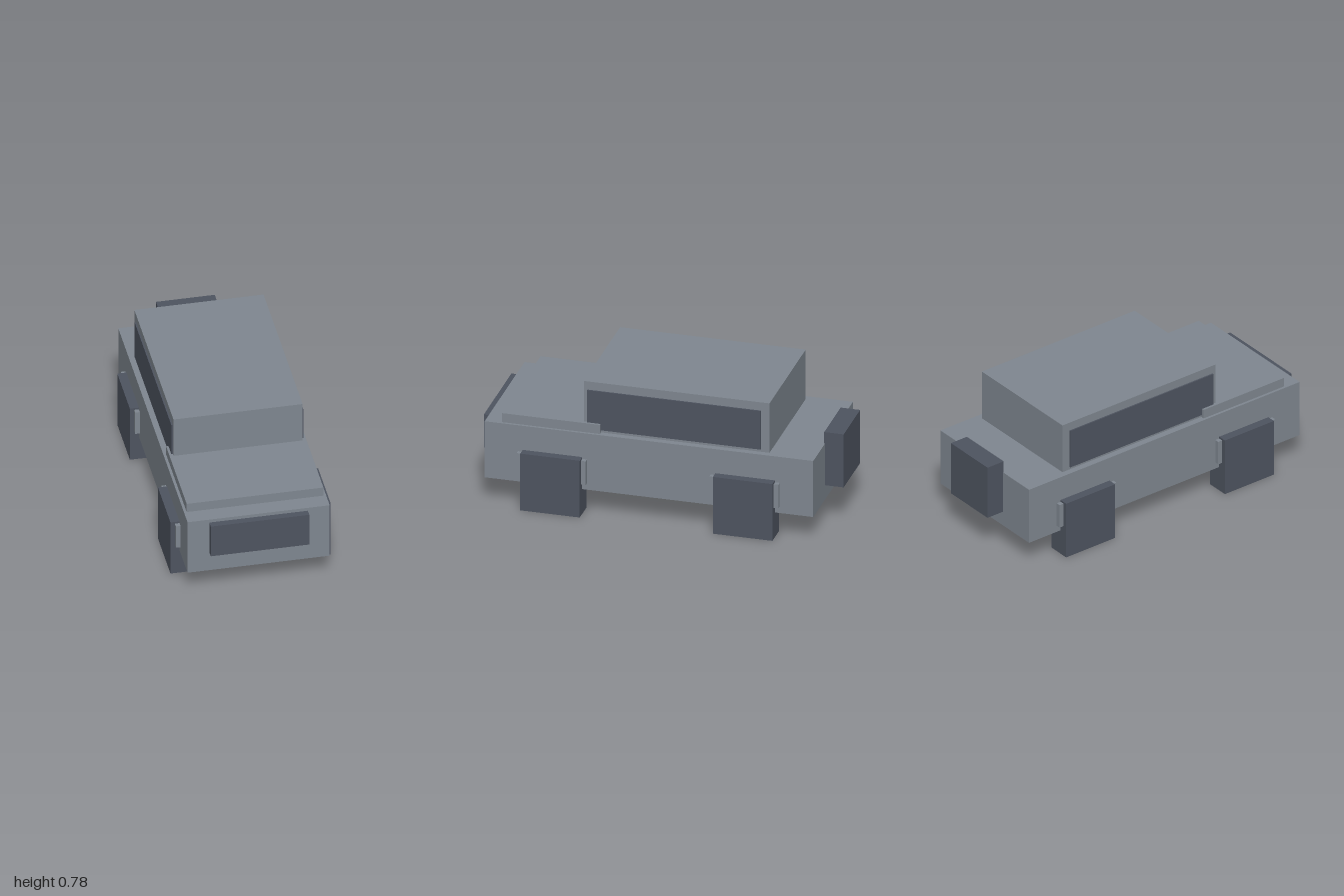
import * as THREE from 'three';

const paint = new THREE.MeshStandardMaterial({ color: 0x7f8790 });
paint.name = 'grey paint';
const dark = new THREE.MeshStandardMaterial({ color: 0x4e5460 });
dark.name = 'dark slate';

// Box given by its extents along each axis
function block(name, material, [x0, x1], [y0, y1], [z0, z1]) {
  const mesh = new THREE.Mesh(new THREE.BoxGeometry(x1 - x0, y1 - y0, z1 - z0), material);
  mesh.position.set((x0 + x1) / 2, (y0 + y1) / 2, (z0 + z1) / 2);
  mesh.name = name;
  return mesh;
}

export function createModel() {
  const car = new THREE.Group();
  car.name = 'offRoadCar';

  // Main shell
  car.add(
    block('body', paint, [-0.394, 0.394], [0.148, 0.484], [-0.894, 0.961]),
    block('hood', paint, [-0.379, 0.379], [0.47, 0.538], [0.315, 0.866]),
    block('cabin', paint, [-0.358, 0.358], [0.47, 0.78], [-0.637, 0.411]),
    block('grille', dark, [-0.273, 0.273], [0.267, 0.465], [0.95, 1]),
    block('spareWheel', dark, [-0.163, 0.163], [0.235, 0.553], [-1, -0.89])
  );

  // Side windows, wheels and fenders, mirrored left and right
  for (const [side, s] of [['left', 1], ['right', -1]]) {
    const span = (a, b) => (s > 0 ? [a, b] : [-b, -a]);
    car.add(block(side + 'Window', dark, span(0.357, 0.366), [0.5, 0.731], [-0.589, 0.391]));
    for (const [end, z] of [['Front', 0.578], ['Rear', -0.51]]) {
      car.add(
        block(side + end + 'Wheel', dark, span(0.313, 0.444), [0, 0.34], [z - 0.168, z + 0.168]),
        block(side + end + 'Fender', paint, span(0.38, 0.42), [0.187, 0.329], [z - 0.195, z + 0.195])
      );
    }
  }
  return car;
}
